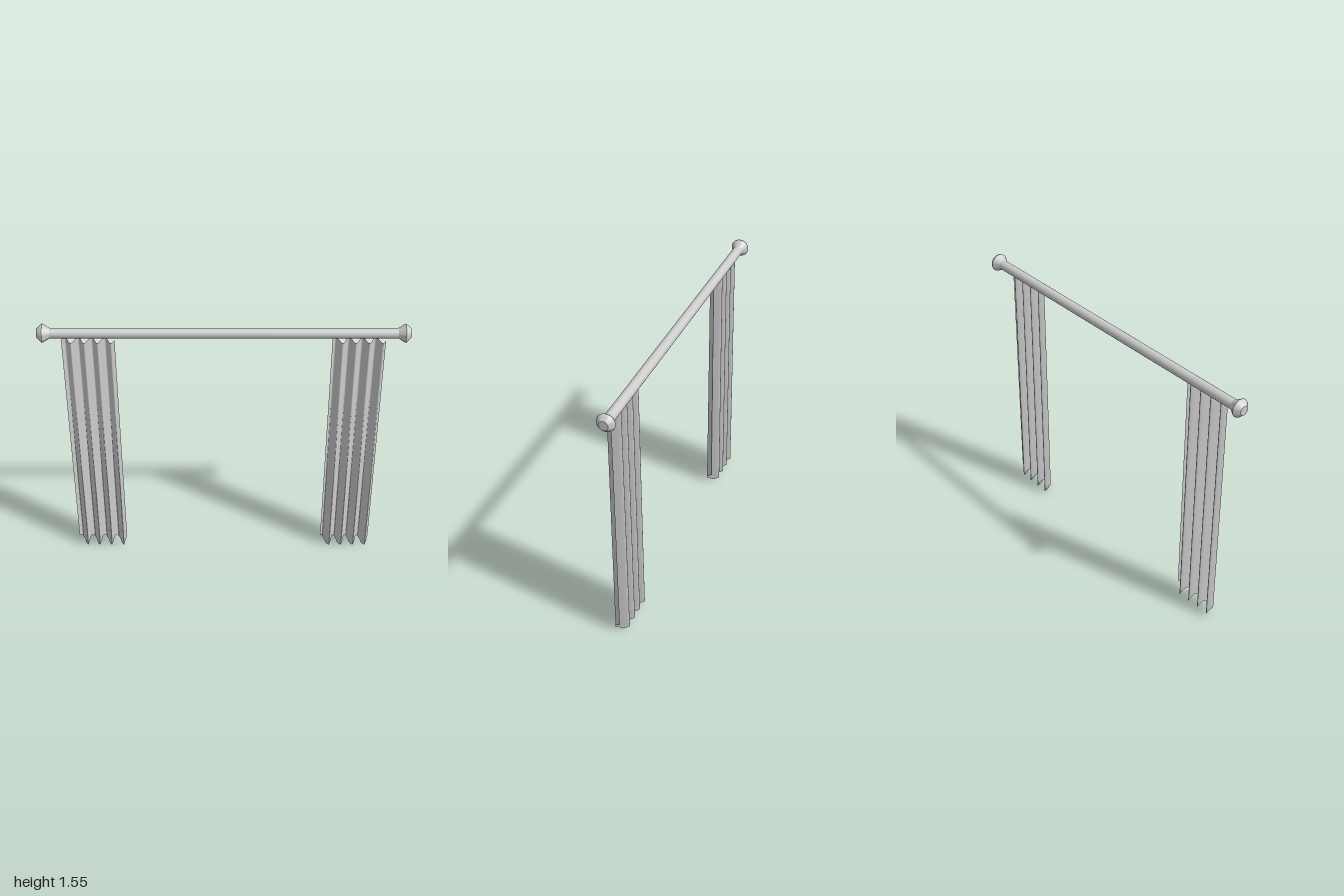
import * as THREE from 'three';
import { toCreasedNormals } from 'three/addons/utils/BufferGeometryUtils.js';

const ROD_Y = 1.495, ROD_Z = -0.002, ROD_R = 0.028;
const WIDTH = 0.286, FOLDS = 4, TOP = 1.465;

// Hem height for a phase (0..1) inside one fold: arch, pointed tip, arch
function hemHeight(phase) {
  const d = Math.abs(phase - 0.5);
  return d < 0.25
    ? 0.016 * Math.sin(d * Math.PI * 2)
    : 0.016 + 0.044 * Math.sin((d - 0.25) * Math.PI * 2 * 0.75) / Math.sin(Math.PI * 0.375);
}

// Pleated cloth: a plane pushed into waves, with a scalloped hem
function curtainGeometry() {
  const geo = new THREE.PlaneGeometry(WIDTH, 1, FOLDS * 24, 8);
  const pos = geo.attributes.position;
  for (let i = 0; i < pos.count; i++) {
    const u = (pos.getX(i) / WIDTH + 0.5) * FOLDS;
    const phase = u - Math.floor(u + 1e-6);
    const v = pos.getY(i) + 0.5;
    const hem = hemHeight(Math.max(0, phase));
    const back = -0.02 + 0.008 * v, front = 0.05;
    const z = (front + back) / 2 - (front - back) / 2 * Math.sin(u * Math.PI * 2);
    pos.setXYZ(i, pos.getX(i), hem + (TOP - hem) * v, z);
  }
  geo.computeVertexNormals();
  return geo;
}

export function createModel() {
  const group = new THREE.Group();
  const metal = new THREE.MeshStandardMaterial({ color: 0xcccccc });
  metal.name = 'light grey';
  const cloth = metal.clone();
  cloth.name = 'light grey cloth';
  cloth.side = THREE.DoubleSide;

  const add = (name, geo, material, x, y, z) => {
    const mesh = new THREE.Mesh(geo, material);
    mesh.name = name;
    mesh.position.set(x, y, z);
    group.add(mesh);
  };

  // Rod
  const rod = new THREE.CylinderGeometry(ROD_R, ROD_R, 1.88, 32, 1, true);
  add('rod', rod.rotateZ(Math.PI / 2), metal, 0, ROD_Y, ROD_Z);

  // Flared finials with flat ends
  const profile = [[ROD_R, 0.93], [0.032, 0.938], [0.043, 0.955], [0.051, 0.968],
    [0.049, 0.976], [0.026, 1], [0, 1]].map(([r, h]) => new THREE.Vector2(r, h));
  for (const [name, side] of [['leftFinial', 1], ['rightFinial', -1]]) {
    const geo = new THREE.LatheGeometry(profile, 32).rotateZ(-side * Math.PI / 2);
    add(name, toCreasedNormals(geo, 0.6), metal, 0, ROD_Y, ROD_Z);
  }

  // Curtains, both pleated the same way round
  const curtain = curtainGeometry();
  add('leftCurtain', curtain, cloth, 0.7225, 0, 0);
  add('rightCurtain', curtain, cloth, -0.7275, 0, 0);
  return group;
}
